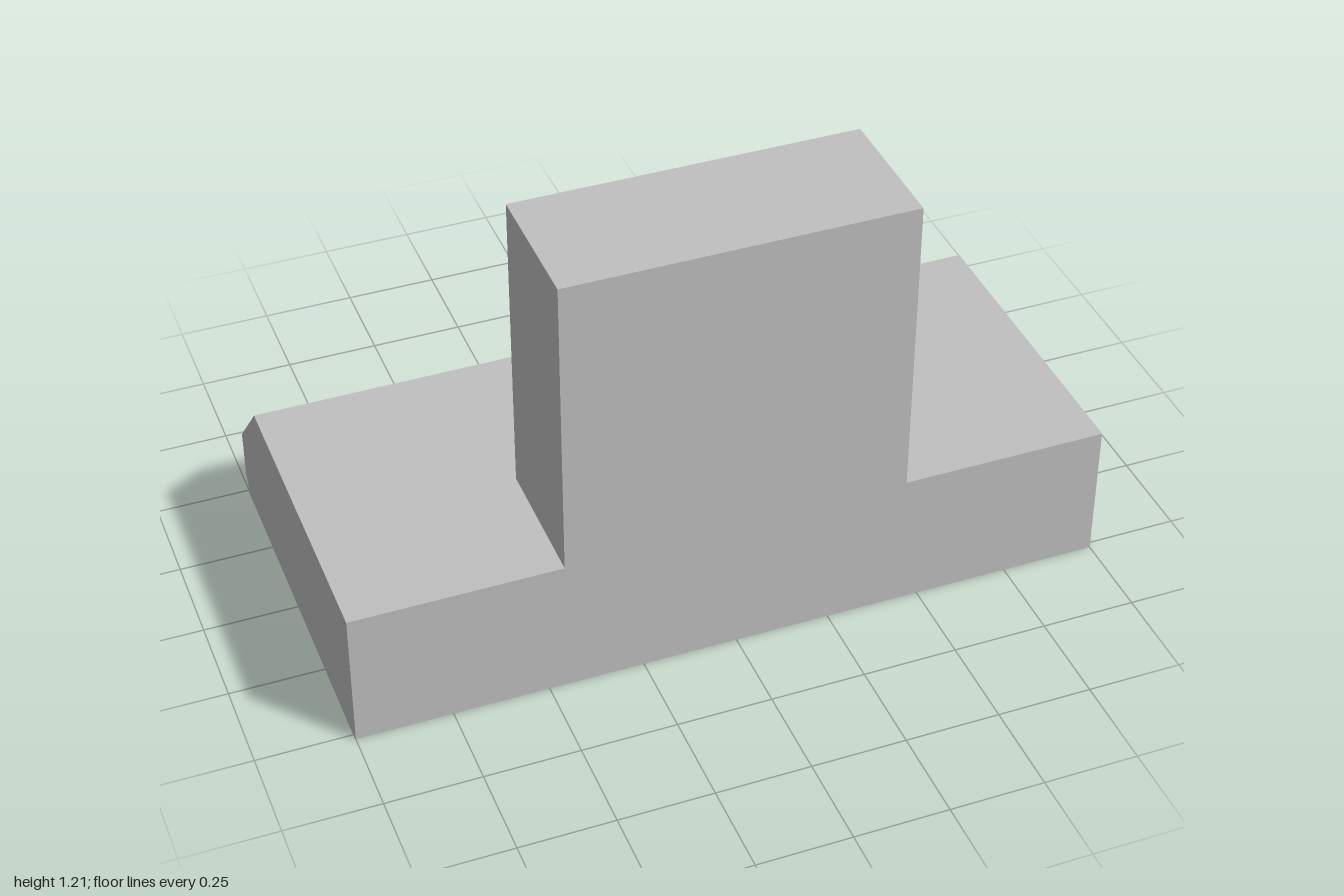
import * as THREE from 'three';

const HALF_DEPTH = 0.517, HOOD_TOP = 0.38, RECESS = 0.015;

// Hood cross-section in (z, y); a recessed one has a shallow notch for a filter panel.
function hoodProfile(recessed) {
  const points = [[HALF_DEPTH, 0]];
  points.push([HALF_DEPTH, HOOD_TOP], [-0.33, HOOD_TOP], [-HALF_DEPTH, 0.18], [-HALF_DEPTH, 0.04], [-0.49, 0]);
  if (recessed) points.push([-0.45, 0], [-0.45, RECESS], [0.46, RECESS], [0.46, 0]);
  return new THREE.Shape(points.map(([z, y]) => new THREE.Vector2(z, y)));
}

export function createModel() {
  const model = new THREE.Group();
  model.name = 'rangeHood';
  const steel = new THREE.MeshStandardMaterial({ color: 0xc0c0c0 });
  steel.name = 'brushed grey';

  // Hood canopy: solid ribs alternate with the two recessed filter bays along x
  const canopy = new THREE.Group();
  canopy.name = 'canopy';
  const stops = [-1, -0.95, -0.04, 0.04, 0.95, 1];
  for (let i = 0; i < stops.length - 1; i++) {
    const recessed = i % 2 === 1;
    const geometry = new THREE.ExtrudeGeometry(hoodProfile(recessed), {
      depth: stops[i + 1] - stops[i], bevelEnabled: false,
    });
    geometry.rotateY(-Math.PI / 2).translate(stops[i + 1], 0, 0);
    const section = new THREE.Mesh(geometry, steel);
    section.name = recessed ? 'filterBay' : 'canopyRib';
    canopy.add(section);
  }
  model.add(canopy);

  // Chimney duct, flush with the front of the canopy
  const depth = HALF_DEPTH - 0.152, height = 1.21 - HOOD_TOP;
  const chimney = new THREE.Mesh(new THREE.BoxGeometry(0.906, height, depth), steel);
  chimney.name = 'chimney';
  chimney.position.set(0, HOOD_TOP + height / 2, HALF_DEPTH - depth / 2);
  model.add(chimney);

  return model;
}
